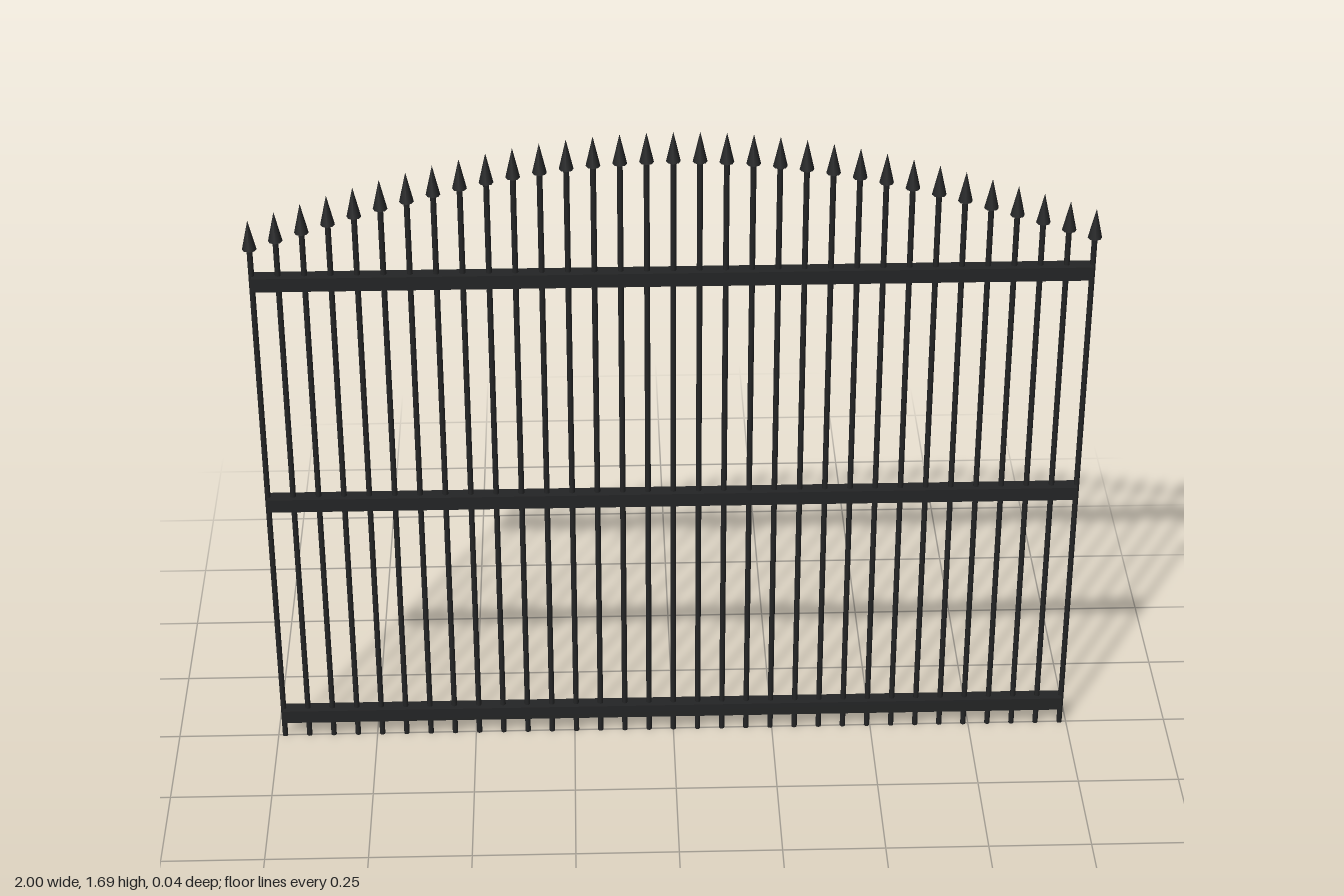
import * as THREE from 'three';

export function createModel() {
  const gate = new THREE.Group();
  gate.name = 'fencePanel';
  const iron = new THREE.MeshStandardMaterial({ color: 0x242526 });
  iron.name = 'blackIron';

  const add = (name, geometry, x, y) => {
    const mesh = new THREE.Mesh(geometry, iron);
    mesh.name = name;
    mesh.position.set(x, y, 0);
    gate.add(mesh);
  };

  const gaps = 32;
  const halfWidth = 0.983;
  const tipHeight = 0.075;

  // Horizontal rails
  const railGeometry = new THREE.BoxGeometry(halfWidth * 2, 0.035, 0.035);
  [0.067, 0.7, 1.312].forEach((y) => add('rail', railGeometry, 0, y));

  // Pickets rising in an arch, each topped with a pointed spear tip
  const tipGeometry = new THREE.ConeGeometry(0.017, tipHeight, 8);
  for (let i = 0; i <= gaps; i++) {
    const x = -halfWidth + (2 * halfWidth * i) / gaps;
    const barHeight = 1.4 + 0.214 * Math.sin((Math.PI * i) / gaps);
    add('picket', new THREE.CylinderGeometry(0.0068, 0.0068, barHeight, 8), x, barHeight / 2);
    add('spearTip', tipGeometry, x, barHeight + tipHeight / 2);
  }
  return gate;
}
